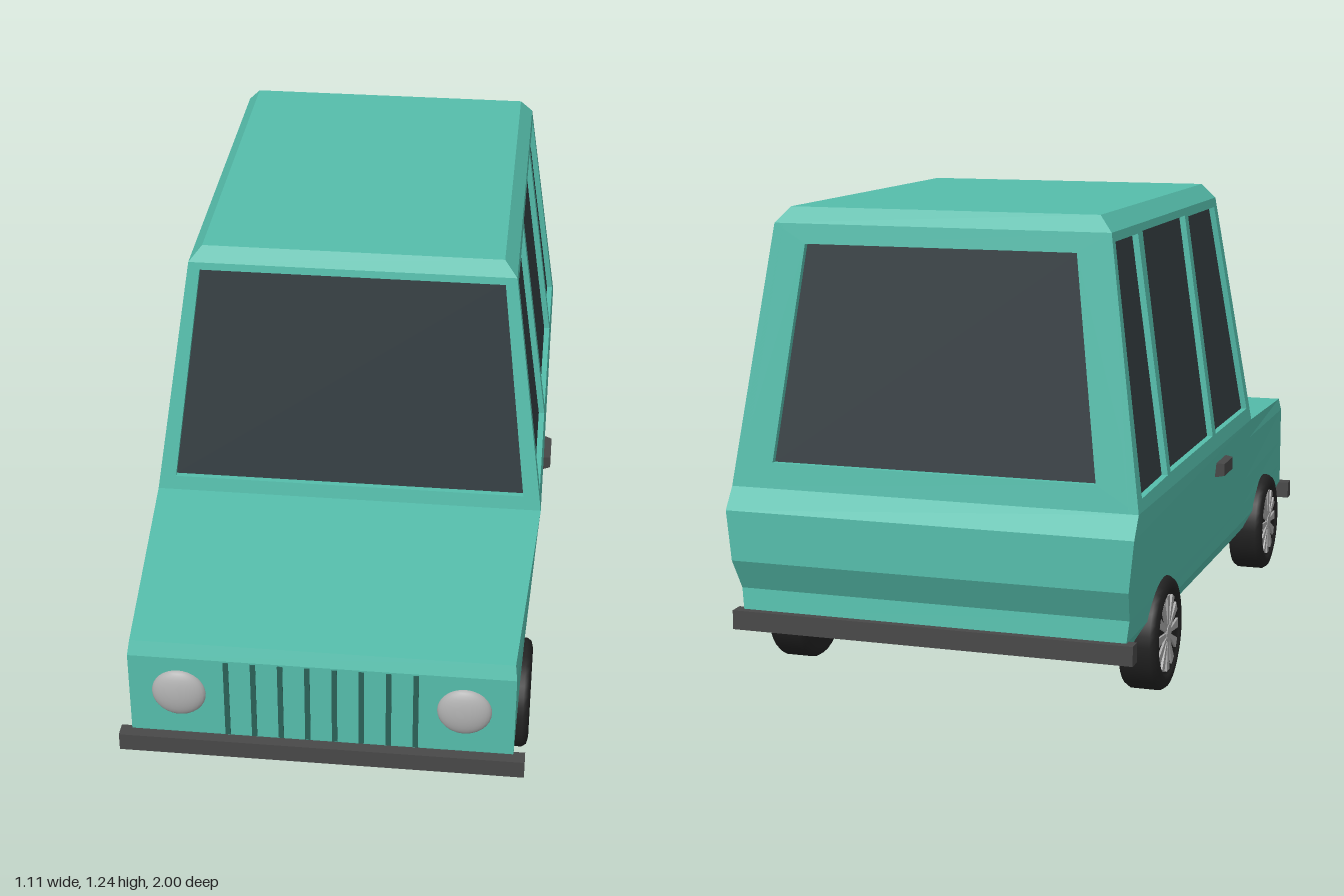
import * as THREE from 'three';

const mat = (color, flatShading = false) =>
  new THREE.MeshStandardMaterial({ color, flatShading, side: THREE.DoubleSide });
const paint = mat(0x55bdab, true), slotPaint = mat(0x2a6158, true), glassMat = mat(0x333c40, true);
const trim = mat(0x484848, true), tyreMat = mat(0x222222), rimMat = mat(0xa8a8a8, true), lampMat = mat(0xb0b0b0);

function mesh(name, geometry, material, x = 0, y = 0, z = 0) {
  const m = new THREE.Mesh(geometry, material);
  m.name = name;
  m.position.set(x, y, z);
  return m;
}

// Skin between horizontal loops; each loop lists its +x corners front to back and is mirrored
function loft(halfLoops) {
  const loops = halfLoops.map(h => [...h, ...h.map(([x, y, z]) => [-x, y, z]).reverse()]);
  const pos = [], n = loops[0].length;
  const quad = (a, b, c, d) => pos.push(...a, ...b, ...c, ...a, ...c, ...d);
  for (let k = 0; k < loops.length - 1; k++) {
    const lo = loops[k], hi = loops[k + 1];
    for (let i = 0; i < n; i++) {
      const j = (i + 1) % n;
      quad(lo[i], lo[j], hi[j], hi[i]);
    }
  }
  const bottom = loops[0], top = loops[loops.length - 1];
  for (let i = 0; i < n / 2 - 1; i++) {
    quad(top[i], top[i + 1], top[n - 2 - i], top[n - 1 - i]);
    quad(bottom[n - 1 - i], bottom[n - 2 - i], bottom[i + 1], bottom[i]);
  }
  const g = new THREE.BufferGeometry();
  g.setAttribute('position', new THREE.Float32BufferAttribute(pos, 3));
  g.computeVertexNormals();
  return g;
}

// Cabin wall: leaning frame with window openings and glass set back in them
const BELT = 0.535, DEPTH = 0.025;
function wall(name, outline, windows, slope, angle, x, z) {
  const toShape = pts => new THREE.Shape(pts.map(p => new THREE.Vector2(...p)));
  const lean = g => {
    const p = g.attributes.position;
    for (let i = 0; i < p.count; i++) p.setZ(i, p.getZ(i) - (p.getY(i) - BELT) * slope);
    g.computeVertexNormals();
    return g;
  };
  const group = new THREE.Group();
  group.name = name;
  const shape = toShape(outline);
  shape.holes = windows.map(toShape);
  const frame = new THREE.ExtrudeGeometry(shape, { depth: DEPTH, bevelEnabled: false });
  group.add(mesh('windowFrame', lean(frame.translate(0, 0, -DEPTH)), paint));
  for (const w of windows) {
    const pane = new THREE.ShapeGeometry(toShape(w)).translate(0, 0, -0.016);
    group.add(mesh('windowGlass', lean(pane), glassMat));
  }
  group.rotation.y = angle;
  group.position.set(x, 0, z);
  return group;
}

const trapezoid = (lowHalf, low, highHalf, high) =>
  [[-lowHalf, low], [lowHalf, low], [highHalf, high], [-highHalf, high]];

function wheel() {
  const group = new THREE.Group();
  group.name = 'wheel';
  // Profile of radius and width, spun about the axle
  const profile = [[0, -0.05], [0.12, -0.052], [0.14, -0.048], [0.148, -0.036], [0.148, 0.036],
    [0.14, 0.048], [0.12, 0.053], [0.108, 0.05], [0.104, 0.042], [0, 0.042]];
  const tyre = new THREE.LatheGeometry(profile.map(p => new THREE.Vector2(...p)), 32);
  group.add(mesh('tyre', tyre.rotateZ(-Math.PI / 2), tyreMat));
  // Spokes widen toward the rim
  const spoke = new THREE.Shape([[-0.004, 0.015], [0.004, 0.015], [0.013, 0.1], [-0.013, 0.1]]
    .map(p => new THREE.Vector2(...p)));
  const spokeGeo = new THREE.ExtrudeGeometry(spoke, { depth: 0.006, bevelEnabled: false });
  spokeGeo.rotateY(Math.PI / 2).translate(0.042, 0, 0);
  for (let i = 0; i < 12; i++) {
    const s = mesh('spoke', spokeGeo, rimMat);
    s.rotation.x = i * Math.PI / 6;
    group.add(s);
  }
  group.add(mesh('hub', new THREE.CylinderGeometry(0.022, 0.022, 0.008, 16).rotateZ(Math.PI / 2), rimMat, 0.046));
  return group;
}

export function createModel() {
  const car = new THREE.Group();
  car.name = 'car';

  // Lower body: corners at the nose, windscreen base and tail
  car.add(mesh('lowerBody', loft([
    [[0.475, 0.16, 0.965], [0.48, 0.16, 0.33], [0.475, 0.16, -0.955]],
    [[0.5, 0.21, 0.97], [0.508, 0.215, 0.33], [0.508, 0.215, -0.965]],
    [[0.5, 0.27, 0.97], [0.513, 0.27, 0.33], [0.514, 0.27, -0.96]],
    [[0.5, 0.35, 0.97], [0.52, 0.35, 0.33], [0.522, 0.35, -1]],
    [[0.5, 0.45, 0.97], [0.531, 0.48, 0.33], [0.535, 0.48, -1]],
    [[0.495, 0.488, 0.955], [0.535, BELT, 0.33], [0.535, BELT, -0.96]],
  ]), paint));

  // Cabin walls
  const top = 1.2, rise = top - BELT;
  const sideOutline = [[0.33, BELT], [-0.96, BELT], [-0.875, top], [0.225, top]];
  const sideWindows = [
    [[0.285, 0.575], [-0.118, 0.575], [-0.12, 1.175], [0.195, 1.175]],
    [[-0.155, 0.575], [-0.63, 0.572], [-0.6, 1.18], [-0.155, 1.18]],
    [[-0.66, 0.57], [-0.915, 0.565], [-0.855, 1.177], [-0.645, 1.177]],
  ];
  for (const s of [1, -1]) {
    const flip = pts => pts.map(([z, y]) => [-s * z, y]);
    car.add(wall(s > 0 ? 'leftCabinWall' : 'rightCabinWall', flip(sideOutline), sideWindows.map(flip),
      0.095 / rise, s * Math.PI / 2, s * 0.535, 0));
  }
  const endOutline = trapezoid(0.535, BELT, 0.44, top);
  car.add(wall('windscreenWall', endOutline, [trapezoid(0.485, 0.575, 0.41, 1.18)], 0.105 / rise, 0, 0, 0.33));
  car.add(wall('rearCabinWall', endOutline, [trapezoid(0.425, 0.6, 0.355, 1.15)], 0.085 / rise, Math.PI, 0, -0.96));

  // Roof with chamfered rim
  car.add(mesh('roof', loft([
    [[0.44, top, 0.225], [0.44, top, -0.875]],
    [[0.405, 1.24, 0.2], [0.405, 1.24, -0.85]],
  ]), paint));

  // Bumpers
  car.add(mesh('frontBumper', new THREE.BoxGeometry(1.06, 0.05, 0.04), trim, 0, 0.183, 0.98));
  car.add(mesh('rearBumper', new THREE.BoxGeometry(1.06, 0.05, 0.04), trim, 0, 0.19, -0.967));

  // Grille slots
  for (let i = 0; i < 8; i++)
    car.add(mesh('grilleSlot', new THREE.BoxGeometry(0.014, 0.235, 0.01), slotPaint, (i - 3.5) * 0.07, 0.328, 0.967));

  for (const s of [1, -1]) {
    // Domed headlights
    const lamp = new THREE.SphereGeometry(0.071, 28, 16).scale(1, 1, 0.4);
    car.add(mesh('headlight', lamp, lampMat, s * 0.37, 0.34, 0.968));

    // Door handles with a narrower outer face
    const handle = new THREE.CylinderGeometry(0.057, 0.07, 0.03, 4, 1).rotateY(Math.PI / 4);
    handle.scale(0.42, 1, 1.27).rotateZ(-s * Math.PI / 2);
    car.add(mesh('doorHandle', handle, trim, s * 0.54, 0.473, -0.063));

    // Wheels
    for (const z of [0.645, -0.635]) {
      const w = wheel();
      w.position.set(s * 0.482, 0.15, z);
      if (s < 0) w.rotation.y = Math.PI;
      car.add(w);
    }
  }
  return car;
}
